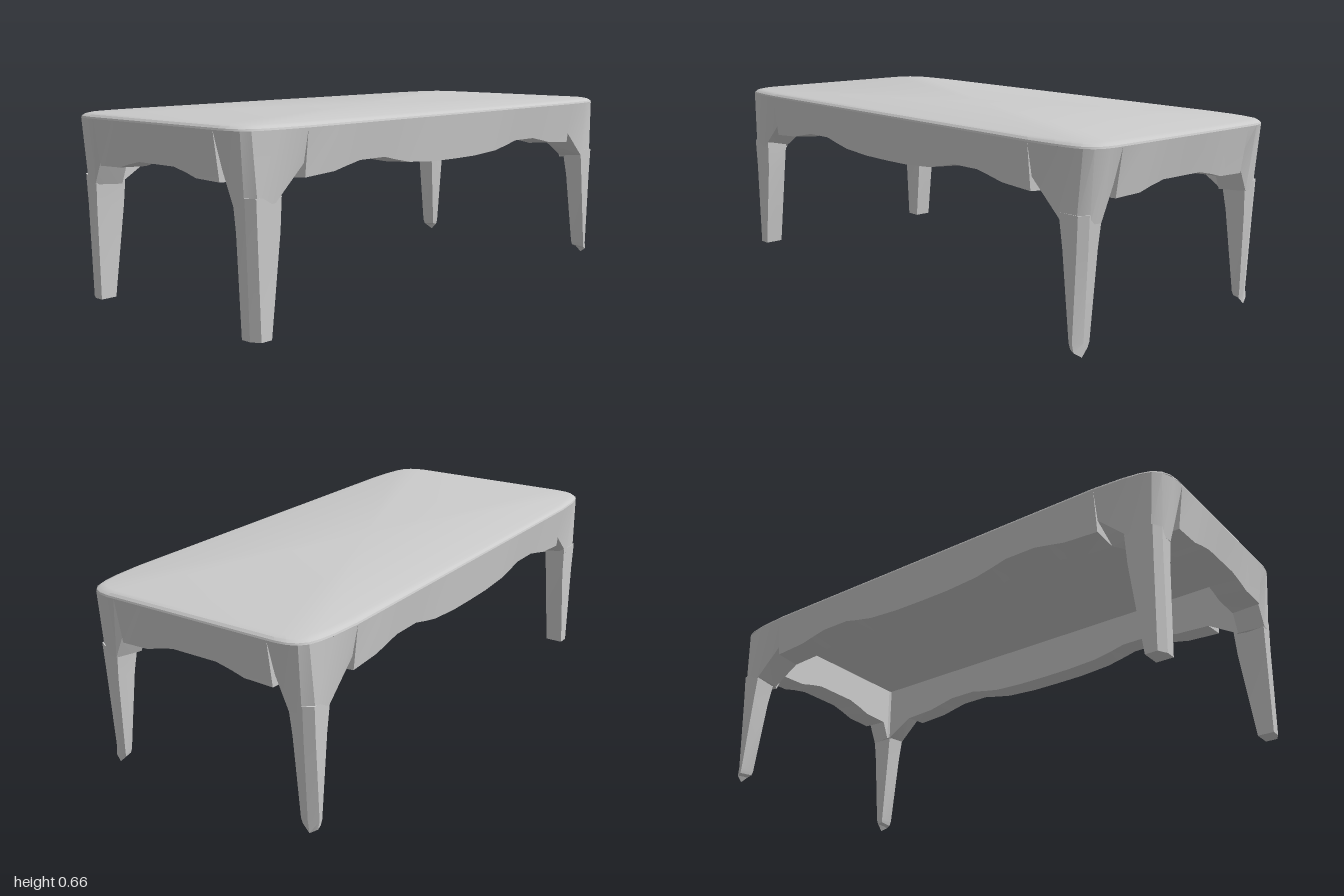
import * as THREE from 'three';
import { toCreasedNormals } from 'three/addons/utils/BufferGeometryUtils.js';

const material = new THREE.MeshStandardMaterial({ color: 0xcccccc });

// Skin a stack of closed rings (lowest first, anticlockwise from above), optionally capped.
function loft(name, rings, capped = true) {
  const n = rings[0].length;
  const pos = [];
  const tri = (...pts) => pts.forEach((p) => pos.push(p[0], p[1], p[2]));
  for (let r = 0; r + 1 < rings.length; r++) {
    for (let i = 0; i < n; i++) {
      const j = (i + 1) % n, a = rings[r], b = rings[r + 1];
      tri(a[i], a[j], b[j]);
      tri(a[i], b[j], b[i]);
    }
  }
  if (capped) {
    const middle = (ring) => [0, 1, 2].map((k) => ring.reduce((s, p) => s + p[k], 0) / n);
    const low = rings[0], high = rings[rings.length - 1];
    const lowMid = middle(low), highMid = middle(high);
    for (let i = 0; i < n; i++) {
      const j = (i + 1) % n;
      tri(low[j], low[i], lowMid);
      tri(high[i], high[j], highMid);
    }
  }
  const g = new THREE.BufferGeometry();
  g.setAttribute('position', new THREE.Float32BufferAttribute(pos, 3));
  const mesh = new THREE.Mesh(toCreasedNormals(g, 0.45), material);
  mesh.name = name;
  return mesh;
}

// Mirror points across x and z, keeping the ring direction.
function mirror(points, sx, sz) {
  const out = points.map(([x, y, z]) => [x * sx, y, z * sz]);
  return sx * sz < 0 ? out.reverse() : out;
}

// Complete a ring from its front-left quarter (x = 0 round to z = 0).
const fullRing = (quarter) => [[1, 1], [1, -1], [-1, -1], [-1, 1]]
  .flatMap(([sx, sz]) => mirror(quarter, sx, sz));

// Rounded outline of the table top, one quarter.
const OUTLINE = [
  [0, 0.463], [0.75, 0.463], [0.86, 0.455], [0.92, 0.445], [0.955, 0.433],
  [0.98, 0.41], [0.994, 0.38], [1, 0.34], [1, 0],
];

function tabletop() {
  const levels = [[0.65, 0], [0.656, 0.002], [0.663, 0.01], [0.667, 0.025]];
  return loft('tabletop', levels.map(([y, inset]) => fullRing(
    OUTLINE.map(([x, z]) => [x * (1 - inset), y, z * (1 - inset / 0.463)]))));
}

// Apron with a scalloped lower edge that drops into a bracket at each leg.
function apron() {
  // Long side: x, outer lower edge, inner lower edge
  const long = [
    [0, 0.49, 0.485], [0.12, 0.491, 0.486], [0.25, 0.5, 0.493], [0.32, 0.514, 0.506],
    [0.38, 0.528, 0.52], [0.5, 0.528, 0.52], [0.56, 0.516, 0.507], [0.62, 0.503, 0.494],
    [0.75, 0.495, 0.487], [0.751, 0.54, 0.487], [0.87, 0.43, 0.425],
  ];
  // Short side: z, outer lower edge, inner lower edge
  const short = [
    [0.36, 0.42, 0.415], [0.311, 0.53, 0.485], [0.31, 0.49, 0.485], [0.2, 0.493, 0.488],
    [0.15, 0.507, 0.503], [0.09, 0.52, 0.517], [0, 0.52, 0.517],
  ];
  const topY = 0.65, innerX = 0.87, innerZ = 0.35;
  const rings = { innerTop: [], innerLow: [], outerLow: [], outerTop: [] };
  const station = (top, low, inner, yOuter, yInner) => {
    rings.innerTop.push([inner[0], topY, inner[1]]);
    rings.innerLow.push([inner[0], yInner, inner[1]]);
    rings.outerLow.push([low[0], yOuter, low[1]]);
    rings.outerTop.push([top[0], topY, top[1]]);
  };
  for (const [x, yo, yi] of long) {
    const bracket = x > 0.75;
    station([x, x > 0.8 ? 0.454 : 0.463], [x, bracket ? 0.442 : 0.446],
      [Math.min(x, 0.855), innerZ], yo, yi);
  }
  // Chamfered corner above the leg
  station([0.955, 0.433], [0.94, 0.44], [0.86, innerZ], 0.42, 0.42);
  station([0.98, 0.41], [0.962, 0.405], [0.865, innerZ], 0.42, 0.42);
  for (const [z, yo, yi] of short) {
    station([z > 0.35 ? 0.997 : 1, z], [z > 0.31 ? 0.966 : 0.976, z],
      [innerX, Math.min(z, 0.34)], yo, yi);
  }
  const { innerTop, innerLow, outerLow, outerTop } = rings;
  return loft('apron', [innerTop, innerLow, outerLow, outerTop].map(fullRing), false);
}

// Five-sided leg section with a chamfered outer corner.
const section = (y, xIn, xOut, zIn, zOut) => [
  [xIn, y, zOut], [xOut - 0.017, y, zOut], [xOut, y, zOut - 0.033], [xOut, y, zIn], [xIn, y, zIn],
];

function leg(sx, sz) {
  const square = [
    section(0.01, 0.89, 0.95, 0.37, 0.44),
    section(0.34, 0.85, 0.96, 0.363, 0.44),
    section(0.45, 0.845, 0.965, 0.355, 0.442),
  ];
  // The left legs taper further and end in a slanted, pointed foot.
  const pointed = [
    [[0.922, 0.03, 0.437], [0.936, 0.022, 0.437], [0.945, 0.004, 0.41],
      [0.943, 0.03, 0.383], [0.92, 0.035, 0.383]],
    section(0.05, 0.916, 0.947, 0.38, 0.439),
    section(0.34, 0.884, 0.96, 0.366, 0.44),
    section(0.45, 0.868, 0.965, 0.355, 0.442),
  ];
  const name = (sz > 0 ? 'front' : 'back') + (sx > 0 ? 'Left' : 'Right') + 'Leg';
  return loft(name, (sx > 0 ? pointed : square).map((ring) => mirror(ring, sx, sz)));
}

export function createModel() {
  const group = new THREE.Group();
  group.name = 'table';
  group.add(tabletop(), apron());
  for (const sx of [-1, 1]) for (const sz of [-1, 1]) group.add(leg(sx, sz));
  return group;
}
